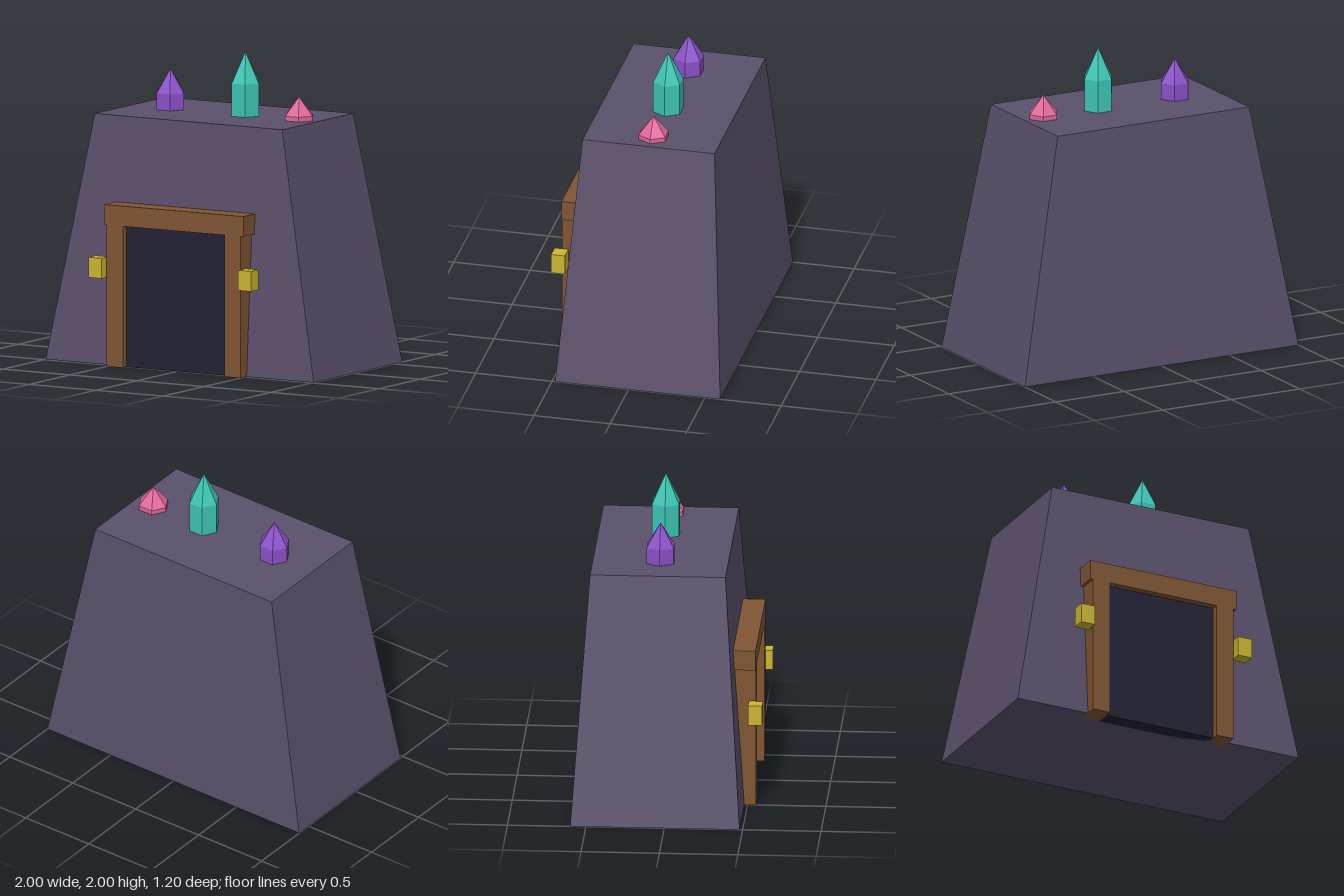
import * as THREE from 'three';

const mat = (name, color, flatShading = false) => {
  const m = new THREE.MeshStandardMaterial({ color, flatShading });
  m.name = name;
  return m;
};

export function createModel() {
  const group = new THREE.Group();
  const stone = mat('stone', 0x5a506b, true);
  const wood = mat('wood', 0x805533);
  const dark = mat('darkness', 0x212134);
  const glow = mat('lanternYellow', 0xcab532);
  const purple = mat('purpleCrystal', 0x8a50c8, true);
  const teal = mat('tealCrystal', 0x3cc4b4, true);
  const pink = mat('pinkCrystal', 0xe0669a, true);

  const add = (name, geometry, material) => {
    const mesh = new THREE.Mesh(geometry, material);
    mesh.name = name;
    group.add(mesh);
    return mesh;
  };
  // Box given by its extents along each axis
  const box = (name, material, [x0, x1], [y0, y1], [z0, z1]) =>
    add(name, new THREE.BoxGeometry(x1 - x0, y1 - y0, z1 - z0), material)
      .position.set((x0 + x1) / 2, (y0 + y1) / 2, (z0 + z1) / 2);

  // Rock mound: a box tapered towards the top
  const H = 1.59, Z = -0.06;
  const rock = new THREE.BoxGeometry(2, H, 1.08);
  const p = rock.attributes.position;
  for (let i = 0; i < p.count; i++) {
    if (p.getY(i) > 0) {
      p.setX(i, p.getX(i) * 0.7);
      p.setZ(i, p.getZ(i) * 0.8);
    }
  }
  rock.computeVertexNormals();
  add('rock', rock, stone).position.set(0, H / 2, Z);

  // Entrance: dark opening, lintel, and a post and lantern on each side
  box('opening', dark, [-0.38, 0.38], [0, 0.91], [0.4, 0.505]);
  box('lintel', wood, [-0.52, 0.52], [0.91, 1.04], [0.4, 0.553]);
  for (const [side, s] of [['left', 1], ['right', -1]]) {
    const span = (a, b) => (s > 0 ? [a, b] : [-b, -a]);
    box(side + 'Post', wood, span(0.38, 0.5), [0, 0.91], [0.4, 0.553]);
    box(side + 'Lantern', glow, span(0.51, 0.608), [0.57, 0.7], [0.51, 0.6]);
  }

  // Six-sided crystals: x, shoulder height, tip height
  const crystals = [
    ['purpleCrystal', purple, -0.4, 1.695, 1.85],
    ['tealCrystal', teal, 0.16, 1.8, 2],
    ['pinkCrystal', pink, 0.56, 1.62, 1.74],
  ];
  for (const [name, material, x, shoulder, tip] of crystals) {
    const profile = [[0, H - 0.02], [0.1, H - 0.02], [0.1, shoulder], [0, tip]]
      .map(([r, y]) => new THREE.Vector2(r, y));
    add(name, new THREE.LatheGeometry(profile, 6, Math.PI / 2), material).position.set(x, 0, Z);
  }
  return group;
}
